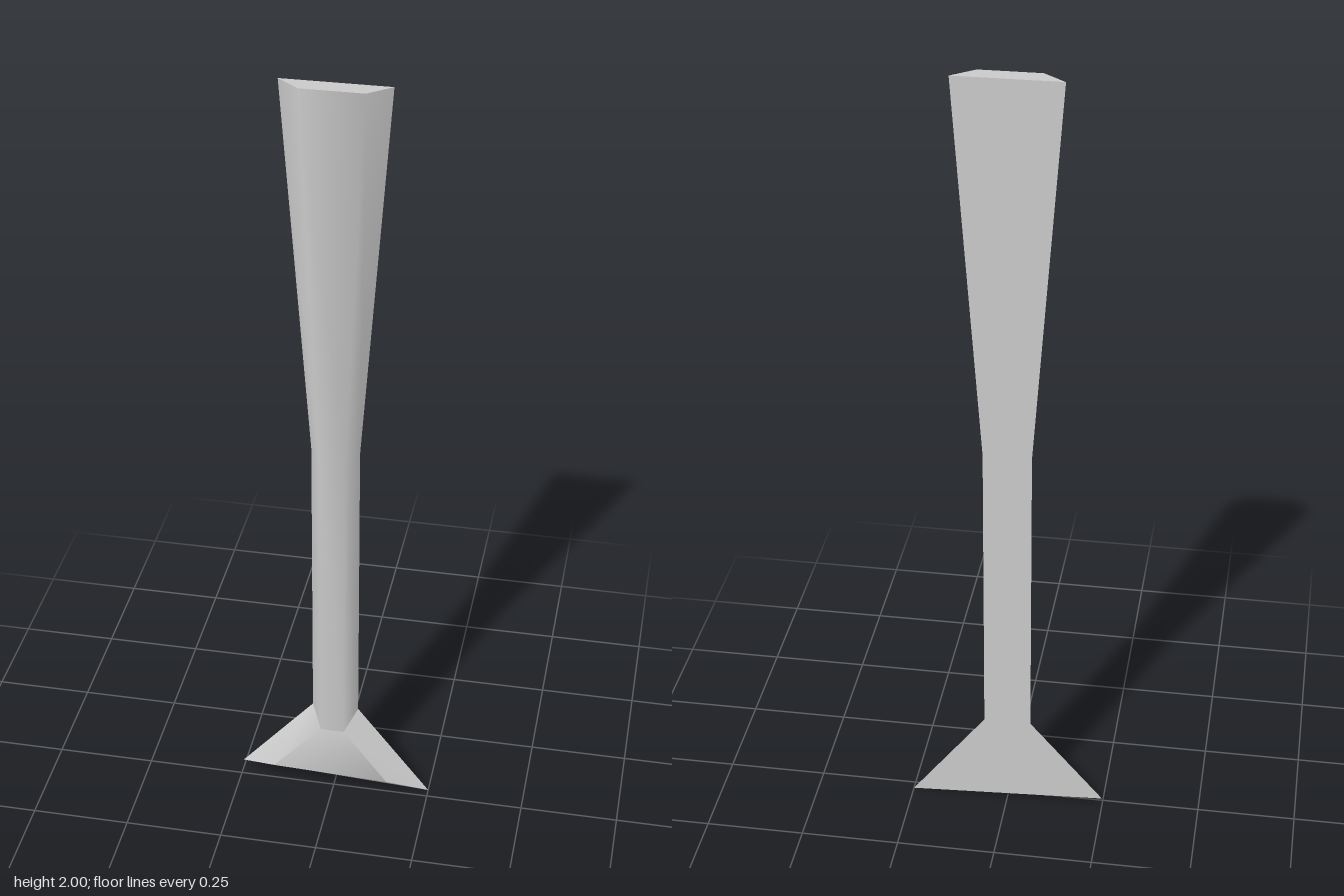
import * as THREE from 'three';
import { toCreasedNormals } from 'three/addons/utils/BufferGeometryUtils.js';

const BACK = -0.024, FRONT = 0.022;

// Cross-sections from bottom to top; each corner is [x, y].
// Order: back right, back left, front left, front right (model's own sides).
const section = (backHalf, backY, frontHalf, frontY) => [
  [-backHalf, backY], [backHalf, backY], [frontHalf, frontY], [-frontHalf, frontY],
];
const sections = [
  [[-0.25, 0.028], [0.25, 0.003], [0.145, 0.053], [-0.157, 0.063]], // slanted cutting edge
  section(0.06, 0.25, 0.03, 0.205),                                 // top of the flared blade
  section(0.06, 1.04, 0.032, 1.04),                                 // end of the straight shank
  section(0.13, 2, 0.075, 2),                                       // wide butt
];

// Skins a run of four-sided sections, optionally closing either end.
function loft(rings, capBottom, capTop) {
  const positions = [], index = [];
  rings.forEach(ring => ring.forEach(([x, y], i) => positions.push(x, y, i < 2 ? BACK : FRONT)));
  for (let r = 0; r < rings.length - 1; r++) {
    for (let i = 0; i < 4; i++) {
      const j = (i + 1) % 4;
      const a = r * 4 + i, b = r * 4 + j, c = b + 4, d = a + 4;
      index.push(a, c, b, a, d, c);
    }
  }
  if (capBottom) index.push(0, 1, 2, 0, 2, 3);
  if (capTop) {
    const t = (rings.length - 1) * 4;
    index.push(t, t + 2, t + 1, t, t + 3, t + 2);
  }
  const geometry = new THREE.BufferGeometry();
  geometry.setAttribute('position', new THREE.Float32BufferAttribute(positions, 3));
  geometry.setIndex(index);
  return toCreasedNormals(geometry, 1.05);
}

export function createModel() {
  const group = new THREE.Group();
  group.name = 'chisel';
  const material = new THREE.MeshStandardMaterial({ color: 0xcccccc });
  const add = (name, geometry) => {
    const mesh = new THREE.Mesh(geometry, material);
    mesh.name = name;
    group.add(mesh);
  };

  // Flared blade with bevelled sides and a bevelled lower edge
  add('blade', loft(sections.slice(0, 2), true, false));
  // Straight shank widening into the handle
  add('handle', loft(sections.slice(1), false, true));
  return group;
}
